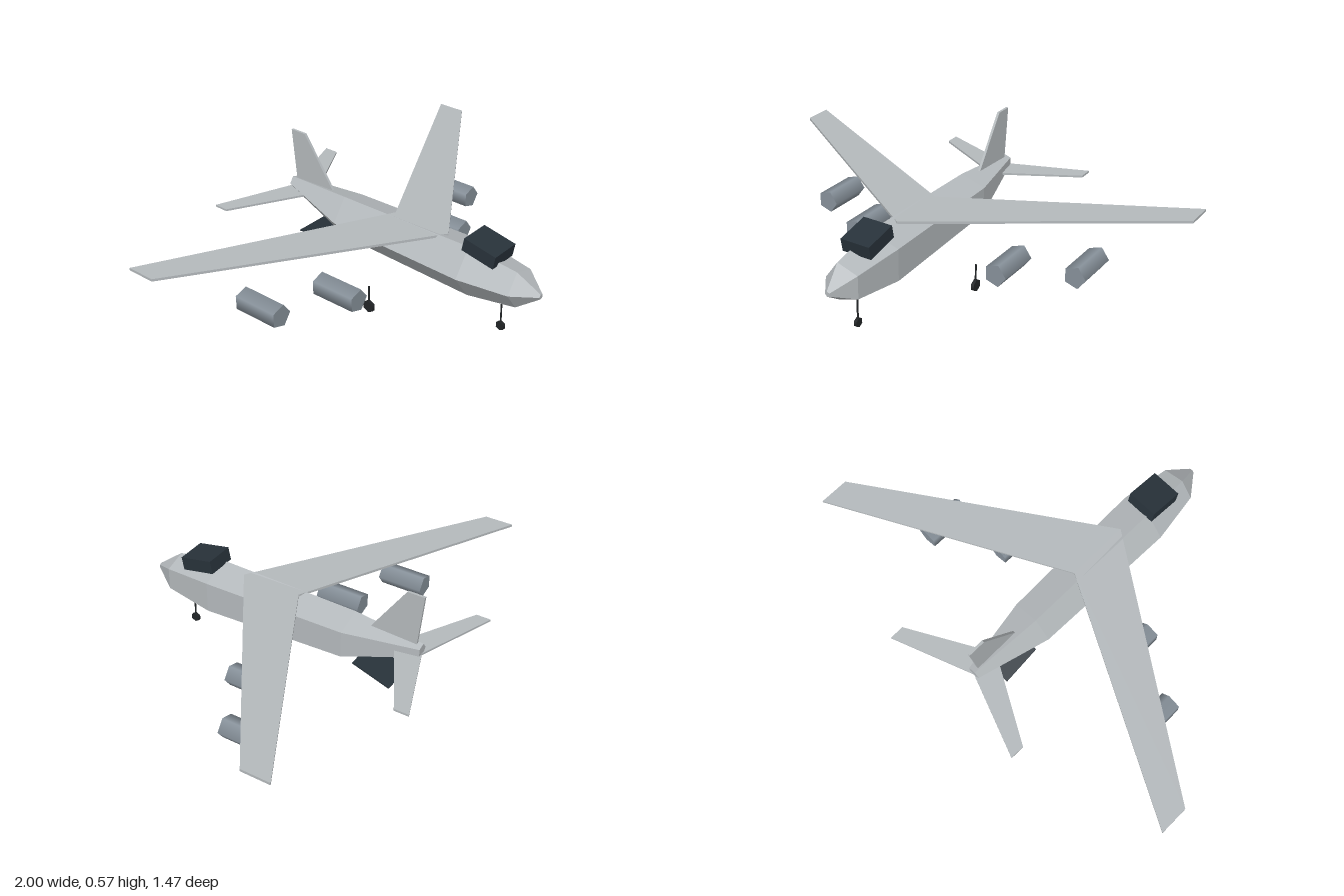
import * as THREE from 'three';

const mat = (name, color) => {
  const m = new THREE.MeshStandardMaterial({ color });
  m.name = name;
  return m;
};

// Five-sided hull lofted through [z, centreY, radius] stations, nose to tail
function hullGeometry(stations, sides) {
  const ring = stations.map(([z, y, r]) => Array.from({ length: sides }, (_, k) => {
    const a = Math.PI + (k * 2 * Math.PI) / sides;
    return [r * Math.cos(a), y + r * Math.sin(a), z];
  }));
  const pos = [];
  const tri = (...pts) => pts.forEach((p) => pos.push(...p));
  const last = stations.length - 1;
  for (let k = 0; k < sides; k++) {
    const n = (k + 1) % sides;
    for (let i = 0; i < last; i++) {
      const a = ring[i][k], b = ring[i][n], c = ring[i + 1][k], d = ring[i + 1][n];
      tri(a, c, b);
      tri(b, c, d);
    }
    // end caps
    tri([0, stations[0][1], stations[0][0]], ring[0][k], ring[0][n]);
    tri([0, stations[last][1], stations[last][0]], ring[last][n], ring[last][k]);
  }
  const g = new THREE.BufferGeometry();
  g.setAttribute('position', new THREE.Float32BufferAttribute(pos, 3));
  g.computeVertexNormals();
  return g;
}

// Thin plate extruded from a 2D outline, centred on its thickness
function plateGeometry(points, depth) {
  const shape = new THREE.Shape(points.map(([a, b]) => new THREE.Vector2(a, b)));
  return new THREE.ExtrudeGeometry(shape, { depth, bevelEnabled: false }).translate(0, 0, -depth / 2);
}

// Horizontal surface from [x, z] corners
const wingGeometry = (corners, side, thickness) =>
  plateGeometry(corners.map(([x, z]) => [x * side, -z]), thickness).rotateX(-Math.PI / 2);

export function createModel() {
  const model = new THREE.Group();
  model.name = 'jetAircraft';
  const body = mat('lightGrey', 0xb4b9bc);
  const metal = mat('engineGrey', 0x87919a);
  const dark = mat('darkGlass', 0x28323a);
  const black = mat('gearBlack', 0x222527);

  const add = (name, geometry, material, x = 0, y = 0, z = 0, parent = model) => {
    const m = new THREE.Mesh(geometry, material);
    m.name = name;
    m.position.set(x, y, z);
    parent.add(m);
    return m;
  };

  add('fuselage', hullGeometry([
    [0.73, 0.244, 0.012],
    [0.63, 0.247, 0.087],
    [0.4, 0.249, 0.122],
    [-0.27, 0.258, 0.105],
    [-0.6, 0.311, 0.03],
  ], 5), body);

  // Swept wings, tailplanes and engines on both sides
  for (const side of [1, -1]) {
    const label = side > 0 ? 'left' : 'right';
    add(label + 'Wing', wingGeometry([[0, 0.27], [1, -0.405], [1, -0.535], [0, -0.01]], side, 0.011),
      body, 0, 0.355, 0);
    add(label + 'Tailplane', wingGeometry([[0, -0.472], [0.36, -0.67], [0.36, -0.735], [0, -0.6]], side, 0.009),
      body, 0, 0.291, 0);
    for (const [name, x, z] of [['InnerEngine', 0.36, -0.017], ['OuterEngine', 0.64, -0.183]]) {
      const engine = new THREE.CylinderGeometry(0.052, 0.052, 0.213, 5, 1, false, Math.PI / 2, Math.PI * 2);
      add(label + name, engine.rotateX(Math.PI / 2), metal, x * side, 0.137, z);
    }
  }

  // Upright fin, outline in [-z, y]
  add('tailFin', plateGeometry([[0.365, 0.345], [0.577, 0.336], [0.598, 0.572], [0.52, 0.572]], 0.011)
    .rotateY(Math.PI / 2), body);

  // Canopy box tilted toward the nose, and lowered rear ramp
  add('cockpitCanopy', new THREE.BoxGeometry(0.138, 0.06, 0.157), dark, 0, 0.373, 0.47).rotation.x = 0.2;
  add('rearRamp', new THREE.BoxGeometry(0.16, 0.007, 0.186), dark, 0, 0.154, -0.413).rotation.x = -0.32;

  // Landing gear: a strut and a hexagonal wheel each
  for (const [name, x, z, r, y] of [
    ['noseGear', 0, 0.547, 0.021, 0.026],
    ['leftMainGear', 0.24, 0.042, 0.028, 0.031],
    ['rightMainGear', -0.24, 0.042, 0.028, 0.031],
  ]) {
    const gear = new THREE.Group();
    gear.name = name;
    gear.position.set(x, 0, z);
    model.add(gear);
    const top = 0.13;
    add('strut', new THREE.CylinderGeometry(0.004, 0.004, top - y, 6), black, 0, (top + y) / 2, 0, gear);
    const wheel = new THREE.CylinderGeometry(r, r, 0.014, 6, 1, false, Math.PI / 2, Math.PI * 2);
    add('wheel', wheel.rotateZ(Math.PI / 2), black, 0, y, 0, gear);
  }

  return model;
}
